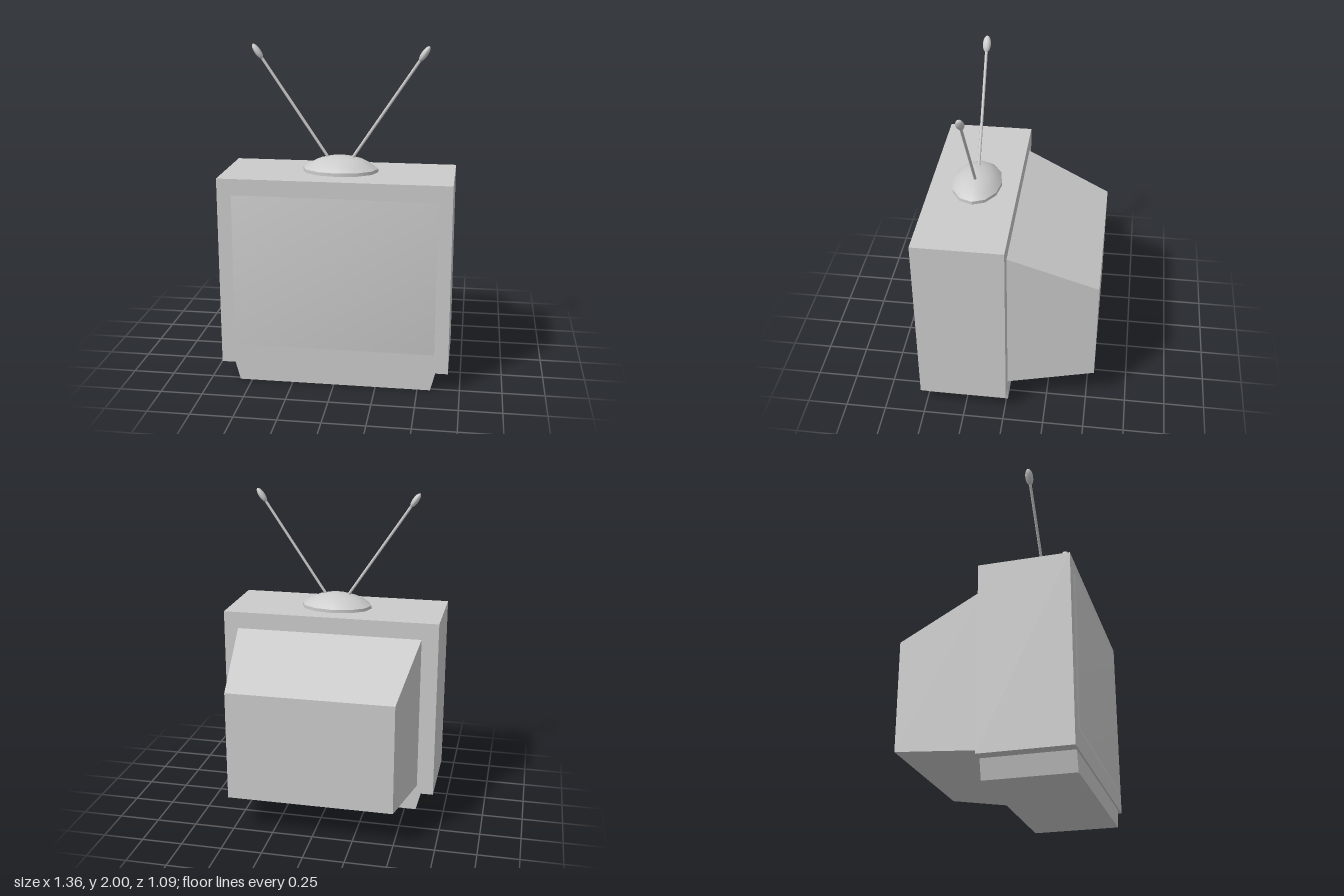
import * as THREE from 'three';
import { mergeVertices, toCreasedNormals } from 'three/addons/utils/BufferGeometryUtils.js';

const material = new THREE.MeshStandardMaterial({ color: 0xcccccc });

function addMesh(parent, name, geometry, x = 0, y = 0, z = 0) {
  const mesh = new THREE.Mesh(geometry, material);
  mesh.name = name;
  mesh.position.set(x, y, z);
  parent.add(mesh);
  return mesh;
}

// Box whose corners are moved by a rule: edit(v) changes each vertex in place
function shapedBox(w, h, d, edit) {
  const geometry = new THREE.BoxGeometry(w, h, d);
  const pos = geometry.attributes.position;
  const v = new THREE.Vector3();
  for (let i = 0; i < pos.count; i++) {
    edit(v.fromBufferAttribute(pos, i));
    pos.setXYZ(i, v.x, v.y, v.z);
  }
  geometry.computeVertexNormals();
  return geometry;
}

// Box with shared corner normals, so that the glass shades as if bulging
function softBox(w, h, d) {
  const geometry = new THREE.BoxGeometry(w, h, d);
  geometry.deleteAttribute('normal');
  geometry.deleteAttribute('uv');
  const merged = mergeVertices(geometry);
  merged.computeVertexNormals();
  return merged;
}

export function createModel() {
  const model = new THREE.Group();
  model.name = 'television';

  // Cabinet and screen
  addMesh(model, 'cabinet', new THREE.BoxGeometry(1.36, 1.14, 0.54), 0, 0.685, 0.26);
  addMesh(model, 'screen', softBox(1.19, 0.925, 0.04), 0.002, 0.698, 0.521);

  // Foot, narrower at the floor
  const foot = shapedBox(1.21, 0.115, 0.53, (v) => {
    if (v.y < 0) v.x *= 0.95;
  });
  addMesh(model, 'foot', foot, 0.002, 0.0575, 0.255);

  // Tapering rear housing
  const housing = shapedBox(1.166, 0.98, 0.535, (v) => {
    if (v.z > 0) return;
    v.x *= 0.87;
    v.y = v.y > 0 ? 0.255 : -0.425;
  });
  addMesh(model, 'rearHousing', housing, 0.007, 0.66, -0.2775);

  // Oval antenna base: short rim under a low dome
  const profile = [[0, 0], [0.225, 0], [0.225, 0.02], [0.19, 0.046], [0.135, 0.073], [0.07, 0.09], [0, 0.096]]
    .map(([r, y]) => new THREE.Vector2(r, y));
  const dome = new THREE.LatheGeometry(profile, 12);
  dome.scale(1, 1, 0.68);
  addMesh(model, 'antennaBase', toCreasedNormals(dome, 0.6), 0.004, 1.255, 0.247);

  // Pair of rods, each ending in a flattened oval tip
  for (const side of [-1, 1]) {
    const antenna = new THREE.Group();
    antenna.name = side > 0 ? 'leftAntenna' : 'rightAntenna';
    antenna.position.set(0.003 + side * 0.066, 1.328, 0.247);
    antenna.rotation.z = -side * Math.atan2(0.42, 0.627);
    addMesh(antenna, 'rod', new THREE.CylinderGeometry(0.009, 0.009, 0.72, 8), 0, 0.36, 0);
    const tip = new THREE.SphereGeometry(1, 12, 8);
    tip.scale(0.019, 0.052, 0.025);
    addMesh(antenna, 'tip', tip, 0, 0.754, 0);
    model.add(antenna);
  }

  return model;
}
